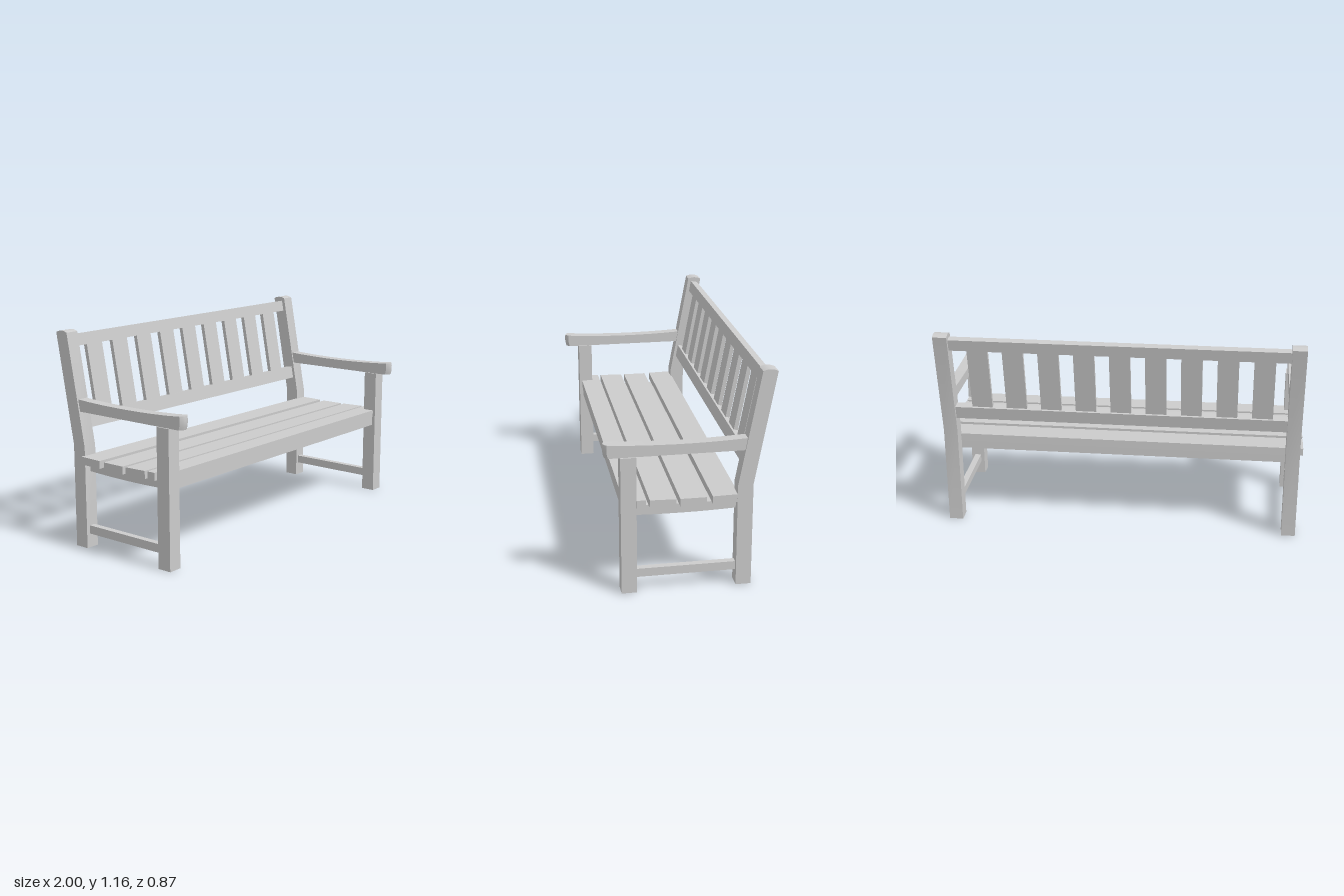
import * as THREE from 'three';
import { toCreasedNormals } from 'three/addons/utils/BufferGeometryUtils.js';

const material = new THREE.MeshStandardMaterial({ color: 0xcccccc });

function add(parent, name, geometry, x = 0, y = 0, z = 0) {
  const mesh = new THREE.Mesh(geometry, material);
  mesh.name = name;
  mesh.position.set(x, y, z);
  parent.add(mesh);
  return mesh;
}

// Box given by its x centre and width, and its y and z ranges
function beam(parent, name, x, w, y0, y1, z0, z1) {
  return add(parent, name, new THREE.BoxGeometry(w, y1 - y0, z1 - z0), x, (y0 + y1) / 2, (z0 + z1) / 2);
}

// Side profile in (z, y), extruded along x and centred on x = 0
function sideExtrude(shape, width, steps = 1) {
  return new THREE.ExtrudeGeometry(shape, { depth: width, steps, bevelEnabled: false, curveSegments: 8 })
    .translate(0, 0, -width / 2)
    .rotateY(-Math.PI / 2);
}

// Rear post: upright leg, then leaning back, with a slightly domed top
function postGeometry() {
  const s = new THREE.Shape();
  s.moveTo(-0.326, 0);
  s.lineTo(-0.246, 0);
  s.lineTo(-0.246, 0.555);
  s.lineTo(-0.357, 1.153);
  s.quadraticCurveTo(-0.397, 1.17, -0.434, 1.15);
  s.lineTo(-0.326, 0.56);
  s.closePath();
  return toCreasedNormals(sideExtrude(s, 0.077), 0.4);
}

// Armrest: dished top, front end rounded in plan
function armGeometry() {
  const w = 0.06;
  const s = new THREE.Shape();
  s.moveTo(-0.283, 0.742);
  s.lineTo(0.425, 0.742);
  s.quadraticCurveTo(0.436, 0.776, 0.43, 0.812);
  s.quadraticCurveTo(0.06, 0.785, -0.297, 0.806);
  s.closePath();
  const g = sideExtrude(s, w, 6);
  const p = g.attributes.position;
  for (let i = 0; i < p.count; i++) {
    if (p.getZ(i) > 0.4) p.setZ(i, p.getZ(i) - 0.018 * (2 * p.getX(i) / w) ** 2);
  }
  return toCreasedNormals(g, 0.5);
}

// Seat frame: shallow dished panel under the slats
function seatFrameGeometry() {
  const s = new THREE.Shape();
  s.moveTo(-0.247, 0.419);
  s.quadraticCurveTo(0.01, 0.407, 0.269, 0.417);
  s.lineTo(0.269, 0.469);
  s.quadraticCurveTo(0.01, 0.457, -0.247, 0.467);
  s.closePath();
  return toCreasedNormals(sideExtrude(s, 1.9), 0.4);
}

// Front slat: notched at both ends to fit around the front legs
function frontSlatGeometry() {
  const s = new THREE.Shape([
    [-0.998, -0.22], [-0.998, -0.267], [-0.905, -0.267], [-0.905, -0.333],
    [0.923, -0.333], [0.923, -0.267], [0.996, -0.267], [0.996, -0.22],
  ].reverse().map(([x, y]) => new THREE.Vector2(x, y)));
  return new THREE.ExtrudeGeometry(s, { depth: 0.042, bevelEnabled: false }).rotateX(-Math.PI / 2);
}

export function createModel() {
  const bench = new THREE.Group();
  bench.name = 'gardenBench';
  const cx = 0.01;

  // Side assemblies
  for (const side of [-1, 1]) {
    const end = new THREE.Group();
    end.name = side < 0 ? 'rightEnd' : 'leftEnd';
    end.position.x = cx + side * 0.95;
    bench.add(end);
    beam(end, 'frontLeg', 0, 0.077, 0, 0.742, 0.268, 0.348);
    add(end, 'rearPost', postGeometry());
    add(end, 'armrest', armGeometry());
    beam(end, 'stretcher', 0, 0.035, 0.077, 0.123, -0.247, 0.269);
  }

  // Seat frame and front apron
  add(bench, 'seatFrame', seatFrameGeometry(), cx);
  beam(bench, 'frontApron', cx, 1.825, 0.417, 0.469, 0.26, 0.328);

  // Seat slats: z centre, y centre, tilt
  for (const [z, y, tilt] of [[0.135, 0.486, -0.025], [-0.02, 0.484, 0], [-0.186, 0.487, 0.02]]) {
    const slat = add(bench, 'seatSlat', new THREE.BoxGeometry(1.996, 0.042, 0.134), 0, y, z);
    slat.rotation.x = tilt;
  }
  add(bench, 'frontSeatSlat', frontSlatGeometry(), 0, 0.468, 0);

  // Backrest, leaning with the rear posts
  const back = new THREE.Group();
  back.name = 'backrest';
  back.position.set(0, 0.557, -0.286);
  back.rotation.x = -0.184;
  bench.add(back);
  beam(back, 'lowerRail', cx, 1.83, 0.086, 0.159, -0.023, 0.023);
  beam(back, 'topRail', cx, 1.83, 0.522, 0.586, -0.02, 0.02);
  for (let i = -4; i <= 4; i++) {
    beam(back, 'backSlat', 0.003 + i * 0.192, 0.113, 0.155, 0.526, -0.011, 0.011);
  }
  return bench;
}
